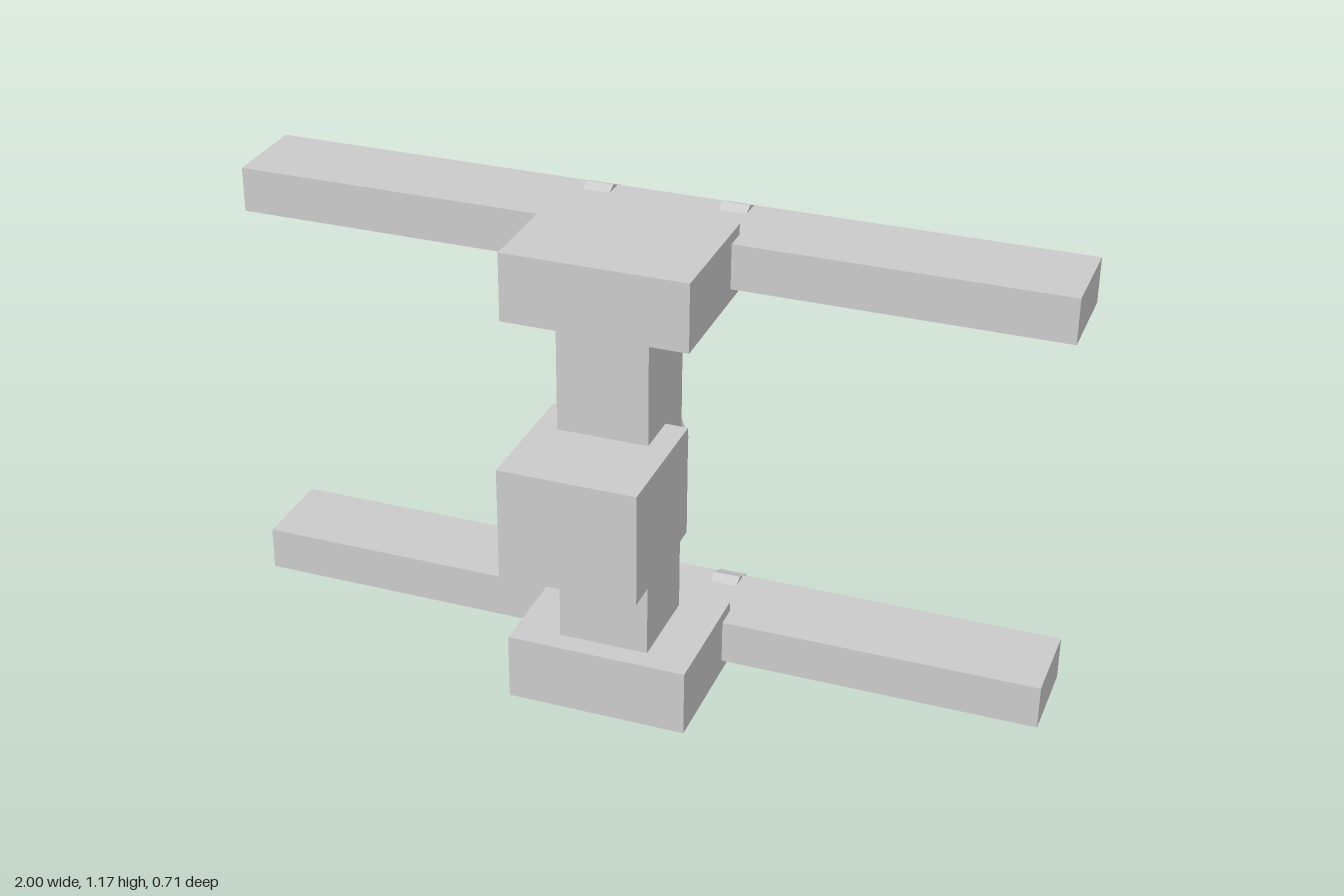
import * as THREE from 'three';

export function createModel() {
  const model = new THREE.Group();
  const material = new THREE.MeshStandardMaterial({ color: 0xcccccc, flatShading: true });

  const add = (name, geometry, x, y, z, parent = model) => {
    const mesh = new THREE.Mesh(geometry, material);
    mesh.name = name;
    mesh.position.set(x, y, z);
    parent.add(mesh);
    return mesh;
  };
  const box = (w, h, d) => new THREE.BoxGeometry(w, h, d);

  // Upright post with the housing on its front
  add('post', box(0.22, 0.837, 0.223), 0, 0.583, 0.021);
  add('frontHousing', box(0.33, 0.276, 0.333), 0, 0.585, 0.187);

  // Octagonal knob on the back of the post
  add('backKnob', new THREE.CylinderGeometry(0.1, 0.1, 0.085, 8).rotateX(Math.PI / 2), 0, 0.585, -0.132);

  // Identical clamp and crossbar at each end of the post
  for (const [name, y] of [['lowerArm', 0.083], ['upperArm', 1.083]]) {
    const arm = new THREE.Group();
    arm.name = name;
    arm.position.y = y;
    model.add(arm);

    add('clampBlock', box(0.443, 0.166, 0.332), 0, 0, 0.02, arm);
    add('crossbar', box(2, 0.11, 0.223), 0, 0.002, -0.202, arm);

    // Octagonal bolts sunk into the back edge of the bar
    for (const side of [-1, 1]) {
      const bolt = new THREE.CylinderGeometry(0.066, 0.066, 0.067, 8).rotateZ(Math.PI / 2);
      add(side > 0 ? 'leftBolt' : 'rightBolt', bolt, side * 0.167, 0.002, -0.286, arm);
    }
  }

  return model;
}
